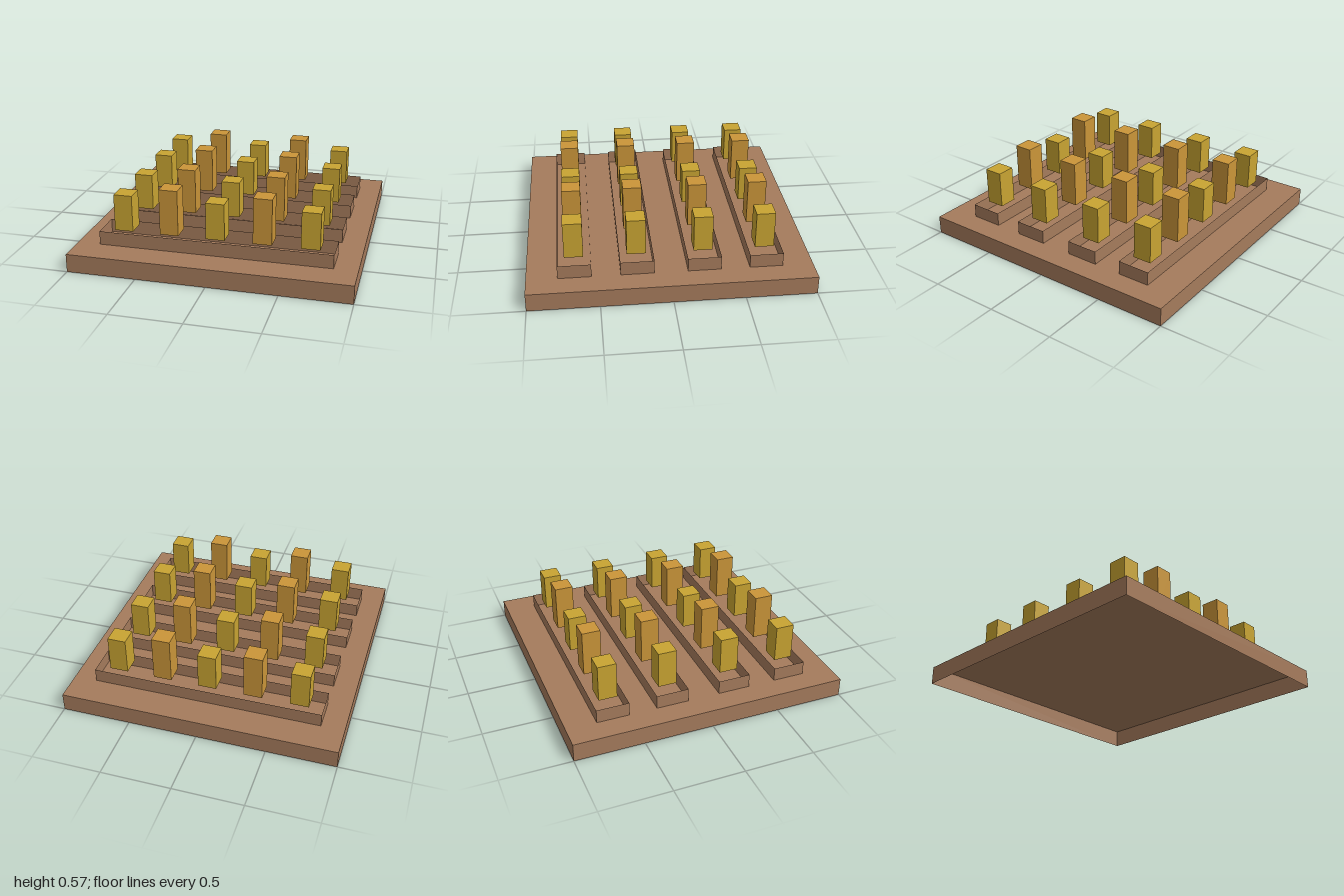
import * as THREE from 'three';

// Box standing on y0, keeping only the wanted faces (order: +x -x +y -y +z -z)
function openBox(w, h, d, y0, skip) {
  const geo = new THREE.BoxGeometry(w, h, d);
  const src = geo.getIndex().array;
  const index = [];
  for (let face = 0; face < 6; face++) {
    if (!skip.includes(face)) index.push(...src.slice(face * 6, face * 6 + 6));
  }
  geo.setIndex(index);
  geo.clearGroups();
  geo.translate(0, y0 + h / 2, 0);
  return geo;
}

const TOP = 2, BOTTOM = 3;

export function createModel() {
  const make = (name, color) => {
    const m = new THREE.MeshStandardMaterial({ color, side: THREE.DoubleSide });
    m.name = name;
    return m;
  };
  const soil = make('soil brown', 0xa57b5c);
  const yellow = make('crop yellow', 0xc8a432);
  const orange = make('crop orange', 0xca9539);

  const group = new THREE.Group();
  group.name = 'plantedField';
  const add = (name, geo, mat, x = 0, z = 0) => {
    const mesh = new THREE.Mesh(geo, mat);
    mesh.name = name;
    mesh.position.set(x, 0, z);
    group.add(mesh);
  };

  // Hollow base slab, open underneath
  add('base', openBox(2, 0.1333, 2, 0, [BOTTOM]), soil);

  // Bed frames are open rims around each row
  const bed = openBox(1.6667, 0.1, 0.2333, 0.1333, [TOP, BOTTOM]);
  const shortCrop = openBox(0.1333, 0.2667, 0.1333, 0.2333, [BOTTOM]);
  const tallCrop = openBox(0.1333, 0.3333, 0.1333, 0.2333, [BOTTOM]);

  // Four rows, each with five crops alternating short and tall
  [-0.6667, -0.2333, 0.2333, 0.6667].forEach((z) => {
    add('bed', bed, soil, 0, z);
    for (let i = -2; i <= 2; i++) {
      const tall = i % 2 !== 0;
      add(tall ? 'tallCrop' : 'shortCrop', tall ? tallCrop : shortCrop, tall ? orange : yellow, i * 0.3333, z);
    }
  });

  return group;
}
